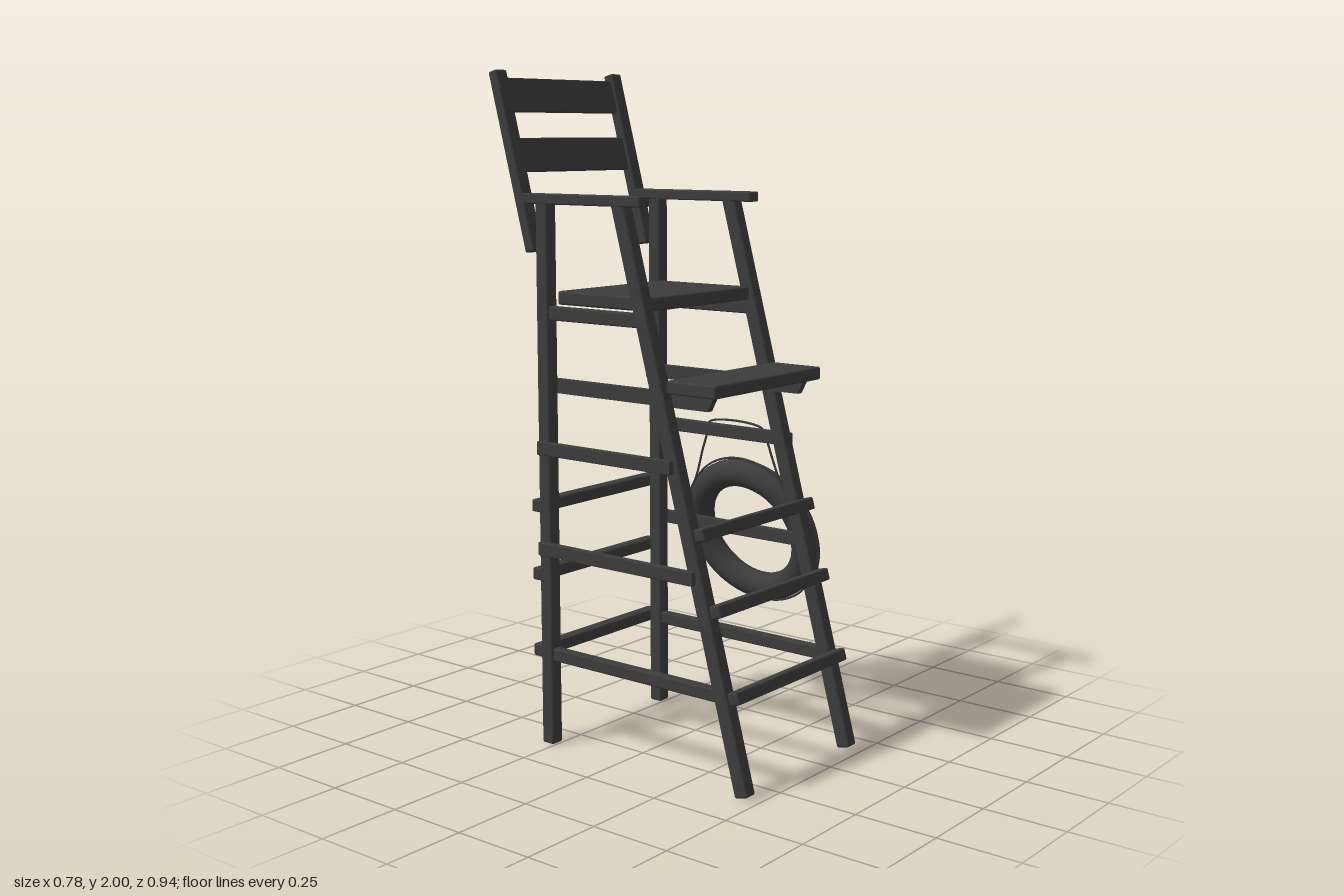
import * as THREE from 'three';
import { RoundedBoxGeometry } from 'three/addons/geometries/RoundedBoxGeometry.js';

const MID = -0.094;   // centre line of the chair frame
const HALF = 0.253;   // from the centre line to each leg
const POST = 0.043;   // leg width

export function createModel() {
  const model = new THREE.Group();
  const dark = new THREE.MeshStandardMaterial({ color: 0x3c3c3c });

  function add(name, geometry, parent = model) {
    const mesh = new THREE.Mesh(geometry, dark);
    mesh.name = name;
    parent.add(mesh);
    return mesh;
  }

  // Timber with softened edges
  function board(name, w, h, d, x, y, z, tilt = 0) {
    const mesh = add(name, new RoundedBoxGeometry(w, h, d, 2, Math.min(w, h, d) * 0.16));
    mesh.position.set(x, y, z);
    mesh.rotation.x = tilt;
    return mesh;
  }

  // Post running between two (y, z) points
  function post(name, x, y0, z0, y1, z1, w, d) {
    return board(name, w, Math.hypot(y1 - y0, z1 - z0), d, x,
      (y0 + y1) / 2, (z0 + z1) / 2, Math.atan2(z1 - z0, y1 - y0));
  }

  // Rail running front to back
  function rail(name, x, y, zFront, zBack, w, h) {
    return board(name, w, h, zFront - zBack, x, y, (zFront + zBack) / 2);
  }

  const legSlope = -0.272;
  const legZ = (y) => 0.452 + legSlope * y;
  const legTilt = Math.atan(legSlope);
  const backSlope = (-0.46 + 0.321) / (1.995 - 1.477);
  const backZ = (y) => -0.321 + backSlope * (y - 1.477);

  // Both sides of the frame
  for (const [label, s] of [['left', 1], ['right', -1]]) {
    const x = MID + s * HALF;
    post(label + 'FrontLeg', x, 0.006, legZ(0.006), 1.625, legZ(1.625), POST, 0.044);
    post(label + 'BackLeg', x, 0, -0.276, 1.64, -0.276, POST, 0.044);
    post(label + 'BackrestPost', x, 1.477, backZ(1.477), 1.995, backZ(1.995), POST + 0.002, 0.033);
    rail(label + 'Armrest', x, 1.63, 0.096, -0.352, POST + 0.002, 0.03);
    rail(label + 'SeatSupport', x, 1.302, 0.085, -0.27, 0.03, 0.04);
    rail(label + 'BottomRail', x, 0.279, 0.385, -0.29, 0.03, 0.038);
    // Outer side rails
    const outer = MID + s * (HALF + 0.031);
    rail(label + 'UpperSideRail', outer, 0.907, 0.216, -0.286, 0.02, 0.04);
    rail(label + 'MiddleSideRail', outer, 0.605, 0.294, -0.286, 0.02, 0.04);

    // Footrest bracket with a slanted front end
    const side = new THREE.Shape();
    side.moveTo(-0.316, 1.105);
    side.lineTo(0.286, 1.105);
    side.lineTo(0.286, 1.063);
    side.lineTo(-0.294, 1.063);
    side.closePath();
    const geo = new THREE.ExtrudeGeometry(side, { depth: 0.021, bevelEnabled: false });
    geo.translate(0, 0, -0.0105);
    geo.rotateY(Math.PI / 2);   // shape x becomes -z
    add(label + 'FootrestBracket', geo).position.x = MID + s * 0.214;
  }

  // Ladder rungs on the front and back
  for (const y of [0.282, 0.517, 0.725]) {
    board('frontRung', 0.536, 0.037, 0.036, MID, y, legZ(y) + 0.042, legTilt);
    board('backRung', 0.536, 0.037, 0.038, MID, y, -0.316);
  }

  // Seat, footrest and backrest slats
  board('seat', 2 * HALF - POST + 0.006, 0.04, 0.345, MID, 1.345, -0.078);
  board('footrest', 0.505, 0.038, 0.172, MID + 0.001, 1.123, 0.255);
  for (const y of [1.926, 1.753])
    board('backrestSlat', 2 * HALF - POST + 0.01, 0.1, 0.016, MID, y, backZ(y), Math.atan(backSlope));

  // Lifebuoy leaning outwards against the side
  const buoy = new THREE.Group();
  buoy.name = 'lifebuoy';
  buoy.position.set(0.288, 0.58, 0);
  buoy.rotation.z = 0.29;
  model.add(buoy);
  add('ring', new THREE.TorusGeometry(0.2, 0.043, 20, 64).rotateY(Math.PI / 2), buoy);

  // Grab rope around the rim, slack between four fixings
  const rim = [];
  for (let i = 0; i < 48; i++) {
    const a = (i / 48) * Math.PI * 2;
    const r = 0.2455 + 0.005 * Math.abs(Math.sin(2 * a + Math.PI / 2));
    rim.push(new THREE.Vector3(0, r * Math.cos(a), r * Math.sin(a)));
  }
  add('grabRope', new THREE.TubeGeometry(new THREE.CatmullRomCurve3(rim, true), 128, 0.0035, 6, true), buoy);

  // Hanging rope looped over the upper rail
  const half = [[0.232, 0.68, 0.205], [0.215, 0.76, 0.162], [0.207, 0.83, 0.137],
    [0.204, 0.9, 0.112], [0.197, 0.929, 0.1]];
  const hang = [
    ...half.map(([x, y, z]) => new THREE.Vector3(x, y, z)),
    ...half.slice().reverse().map(([x, y, z]) => new THREE.Vector3(x, y, -z)),
  ];
  add('hangingRope', new THREE.TubeGeometry(new THREE.CatmullRomCurve3(hang, false, 'centripetal'), 64, 0.0035, 6));

  return model;
}
